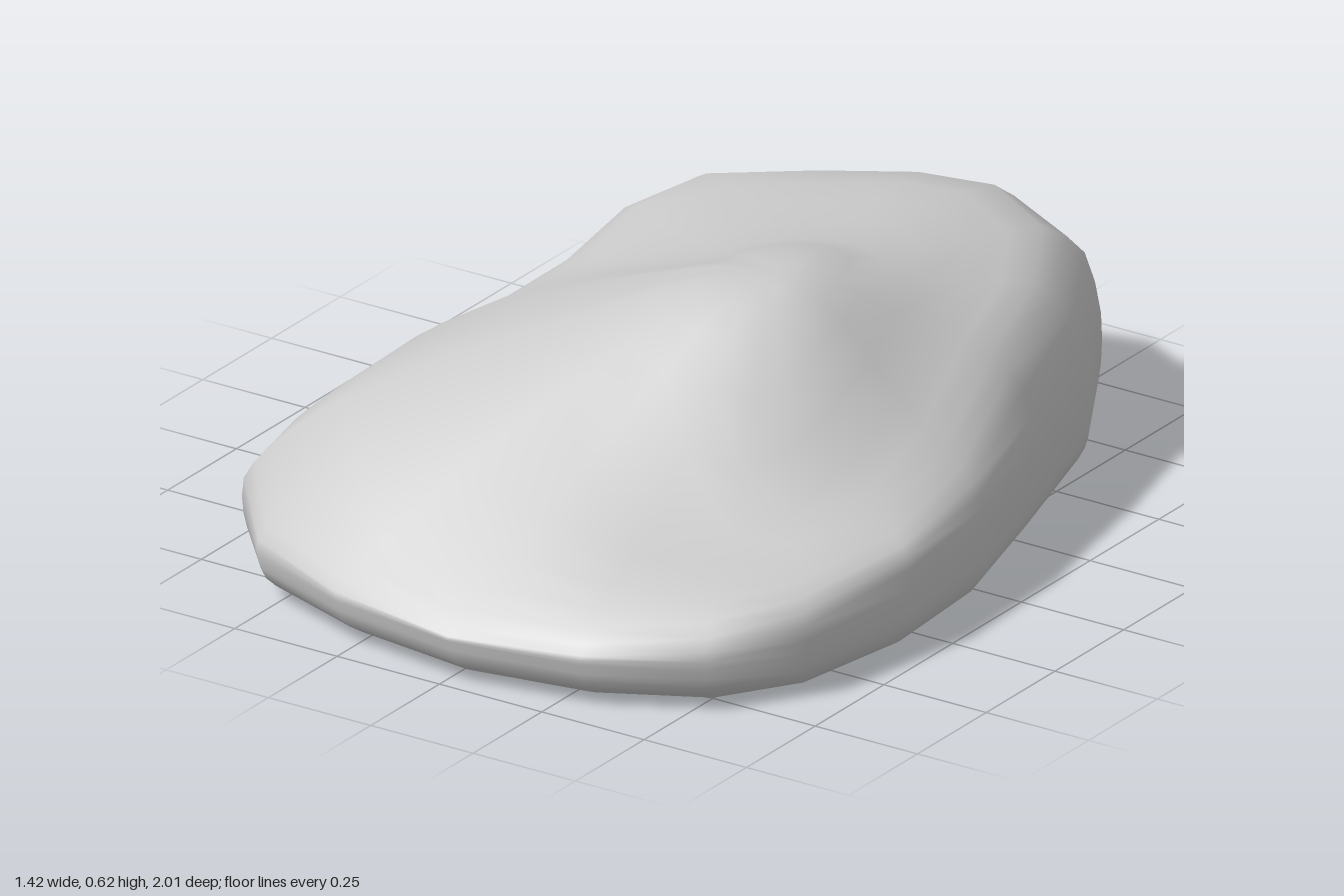
import * as THREE from 'three';
import { mergeVertices } from 'three/addons/utils/BufferGeometryUtils.js';

// Outline from the front round by +x: x, z, wall top, then heights at 95, 82, 60 and 33 % of the radius
const OUTLINE = [
  [0.02, 1.0, 0.11, 0.15, 0.23, 0.35, 0.51],
  [0.31, 0.95, 0.12, 0.16, 0.22, 0.28, 0.48],
  [0.54, 0.83, 0.14, 0.19, 0.23, 0.26, 0.46],
  [0.66, 0.65, 0.16, 0.21, 0.24, 0.28, 0.47],
  [0.71, 0.35, 0.19, 0.23, 0.26, 0.35, 0.53],
  [0.69, 0.05, 0.21, 0.26, 0.32, 0.41, 0.55],
  [0.6, -0.28, 0.21, 0.33, 0.41, 0.47, 0.57],
  [0.5, -0.62, 0.21, 0.36, 0.45, 0.49, 0.56],
  [0.34, -0.9, 0.21, 0.36, 0.46, 0.5, 0.55],
  [0.13, -1.0, 0.21, 0.36, 0.48, 0.52, 0.55],
  [-0.07, -0.96, 0.21, 0.36, 0.48, 0.52, 0.55],
  [-0.28, -0.83, 0.21, 0.38, 0.48, 0.51, 0.55],
  [-0.5, -0.66, 0.22, 0.39, 0.48, 0.5, 0.54],
  [-0.565, -0.45, 0.22, 0.38, 0.46, 0.49, 0.54],
  [-0.555, -0.2, 0.21, 0.35, 0.43, 0.48, 0.55],
  [-0.6, -0.02, 0.21, 0.32, 0.4, 0.48, 0.56],
  [-0.7, 0.2, 0.21, 0.28, 0.37, 0.47, 0.56],
  [-0.71, 0.5, 0.2, 0.26, 0.36, 0.46, 0.55],
  [-0.68, 0.7, 0.18, 0.25, 0.35, 0.45, 0.55],
  [-0.53, 0.87, 0.14, 0.2, 0.32, 0.43, 0.54],
  [-0.28, 0.96, 0.12, 0.17, 0.27, 0.4, 0.53],
];
const PEAK = { x: 0.2, y: 0.62, z: 0.08 };
const STEP = 2; // subdivisions between the rings

// Column from the middle of the underside, out over the wall and up to the flat peak
function columnOf([x, z, wall, ...top]) {
  const section = [
    [0, 0], [0.5, 0], [0.86, 0.004], [0.94, 0.02], [0.985, 0.055], [1, 0.1], [1, wall],
    [0.95, top[0]], [0.82, top[1]], [0.6, top[2]], [0.33, top[3]],
    [0.15, PEAK.y * 0.85 + top[3] * 0.15], [0, PEAK.y],
  ];
  const points = section.map(([f, y]) =>
    new THREE.Vector3(PEAK.x + (x - PEAK.x) * f, y, PEAK.z + (z - PEAK.z) * f));
  return new THREE.CatmullRomCurve3(points, false, 'catmullrom', 0.4)
    .getPoints((section.length - 1) * STEP);
}

function boulderGeometry() {
  const columns = OUTLINE.map(columnOf);
  const rows = columns[0].length;
  const positions = [];
  const index = [];
  columns.forEach((column, i) => {
    const next = ((i + 1) % columns.length) * rows;
    column.forEach((p, j) => {
      positions.push(p.x, Math.max(0, p.y), p.z);
      const a = i * rows + j;
      const b = next + j;
      // Single triangles at both poles, quads between
      if (j > 0 && j < rows - 1) index.push(a, b, a + 1);
      if (j < rows - 2) index.push(b, b + 1, a + 1);
    });
  });
  const geometry = new THREE.BufferGeometry();
  geometry.setAttribute('position', new THREE.Float32BufferAttribute(positions, 3));
  geometry.setIndex(index);
  const merged = mergeVertices(geometry, 1e-5);
  merged.computeVertexNormals();
  return merged;
}

export function createModel() {
  const model = new THREE.Group();
  model.name = 'rock';
  const boulder = new THREE.Mesh(
    boulderGeometry(), new THREE.MeshStandardMaterial({ color: 0xcccccc }));
  boulder.name = 'boulder';
  model.add(boulder);
  return model;
}
